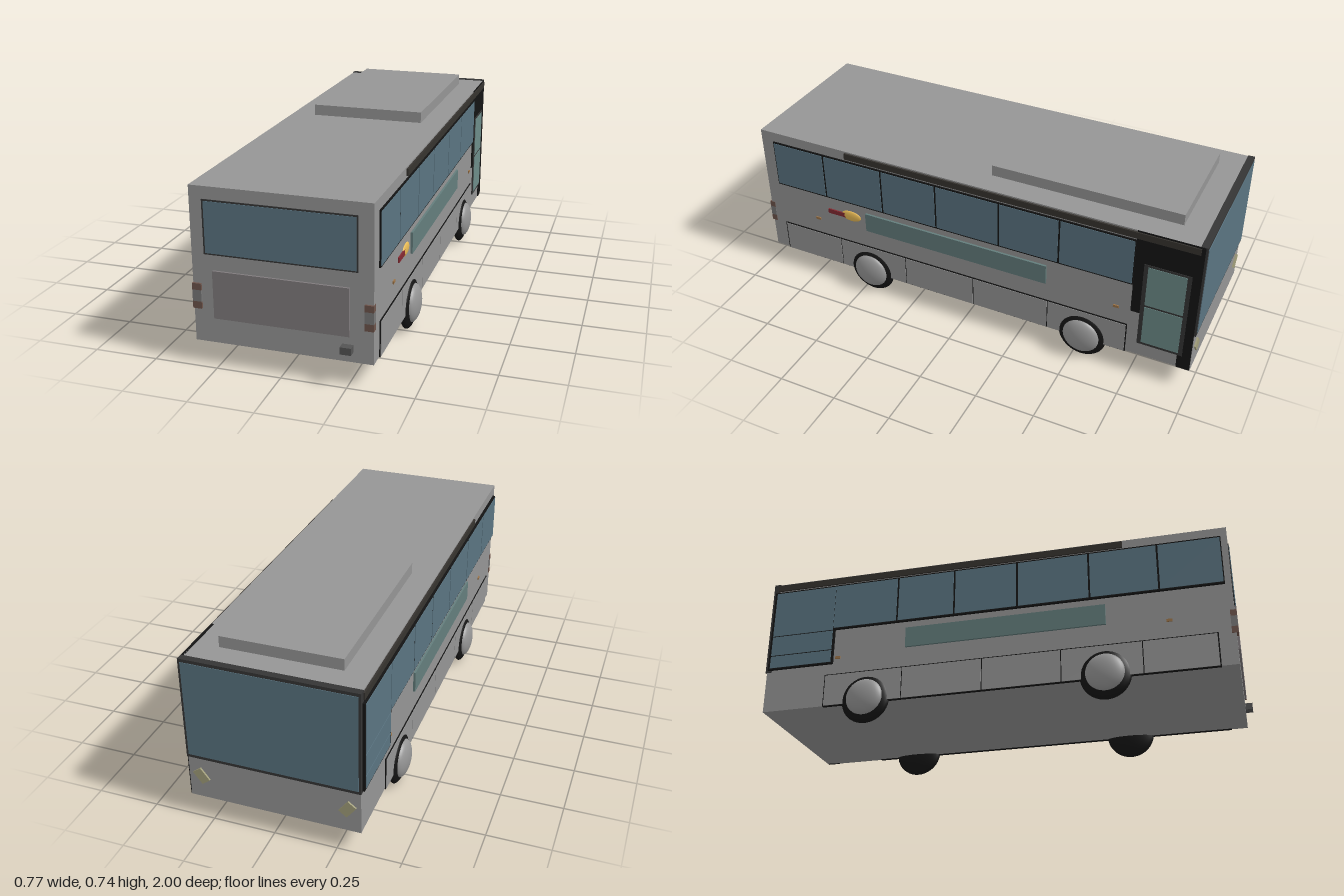
import * as THREE from 'three';

const mat = (color) => new THREE.MeshStandardMaterial({ color });
const M = {
  paint: mat(0x959595), black: mat(0x141414), frame: mat(0x353535), gutter: mat(0x36332f),
  glass: mat(0x5a7481), teal: mat(0x637d7c), doorGlass: mat(0x6d8c89), hatch: mat(0x807b7d),
  red: mat(0x6d544b), yellow: mat(0xe8ba55), crimson: mat(0x842a32), orange: mat(0x9d7549),
  lamp: mat(0xa29f7b), exhaust: mat(0x545454), lens: mat(0x787878),
};

export function createModel() {
  const bus = new THREE.Group();
  bus.name = 'bus';

  const add = (name, geometry, material) => {
    const mesh = new THREE.Mesh(geometry, material);
    mesh.name = name;
    bus.add(mesh);
    return mesh;
  };
  // Box given by its bounds on each axis
  const box = (name, material, [x0, x1], [y0, y1], [z0, z1]) => {
    const m = add(name, new THREE.BoxGeometry(Math.abs(x1 - x0), y1 - y0, Math.abs(z1 - z0)), material);
    m.position.set((x0 + x1) / 2, (y0 + y1) / 2, (z0 + z1) / 2);
  };
  const W = 0.342;
  // Thin panel on one side wall, standing out by the given depth
  const side = (name, s, material, depth, y, z) =>
    box(name, material, [s * (W - 0.01), s * (W + depth)], y, z);
  const ellipsoid = (name, material, p, r) => {
    const m = add(name, new THREE.SphereGeometry(1, 32, 20), material);
    m.position.set(...p);
    m.scale.set(...r);
  };

  // Body shell and roof unit
  box('body', M.paint, [-W, W], [0.09, 0.694], [-0.992, 0.97]);
  box('roofUnit', M.paint, [-0.24, 0.24], [0.69, 0.74], [-0.875, -0.08]);

  // Windscreen wrapped by a dark frame
  box('windscreenFrame', M.frame, [-0.344, 0.344], [0.27, 0.696], [-0.998, -0.97]);
  box('windscreen', M.glass, [-0.335, 0.335], [0.283, 0.683], [-1, -0.98]);

  // Slanted headlights
  for (const s of [-1, 1]) {
    const lamp = add('headlight', new THREE.BoxGeometry(0.04, 0.06, 0.012), M.lamp);
    lamp.position.set(s * 0.291, 0.19, -0.993);
    lamp.rotation.z = -s * 0.65;
  }

  // Rear window, engine hatch, exhaust and tail lights
  box('rearWindowFrame', M.frame, [-0.293, 0.285], [0.437, 0.646], [0.96, 0.973]);
  box('rearWindow', M.glass, [-0.286, 0.279], [0.443, 0.64], [0.96, 0.975]);
  box('engineHatch', M.hatch, [-0.262, 0.254], [0.19, 0.377], [0.96, 0.978]);
  box('exhaust', M.exhaust, [0.225, 0.267], [0.13, 0.158], [0.96, 1]);
  for (const s of [-1, 1]) {
    const stack = [[0.222, 0.25, M.red], [0.25, 0.295, M.lens], [0.295, 0.321, M.red]];
    for (const [y0, y1, m] of stack) {
      box('tailLight', m, [s * 0.309, s * 0.344], [y0, y1], [0.953, 0.978]);
    }
  }

  // Parts shared by both sides
  const windowCuts = {
    '1': [-0.73, -0.42, -0.16, 0.125, 0.38, 0.66, 0.91],
    '-1': [-0.7, -0.41, -0.16, 0.11, 0.41, 0.69, 0.945],
  };
  const panelCuts = [-0.72, -0.38, -0.04, 0.285, 0.61, 0.9];
  for (const s of [-1, 1]) {
    // Window strip
    const cuts = windowCuts[s];
    const d = s > 0 ? 0.006 : 0.012;
    side('windowBand', s, M.black, d, [0.437, 0.65], [cuts[0], cuts[cuts.length - 1]]);
    for (let i = 0; i < cuts.length - 1; i++) {
      side('sideWindow', s, M.glass, d + 0.002, [0.443, 0.644], [cuts[i] + 0.004, cuts[i + 1] - 0.004]);
    }
    // Gutter, coloured band and marker lights
    side('gutterStrip', s, M.gutter, 0.008, [0.66, 0.688], [-0.975, 0.55]);
    side('sideBand', s, M.teal, 0.009, [0.318, 0.406], [-0.37, 0.47]);
    for (const z of [-0.67, 0.72]) side('markerLight', s, M.orange, 0.005, [0.3, 0.311], [z - 0.012, z + 0.012]);
    // Lower panels over a dark backing
    side('skirtBacking', s, M.black, 0.004, [0.088, 0.23], [-0.722, 0.903]);
    for (let i = 0; i < panelCuts.length - 1; i++) {
      side('skirtPanel', s, M.paint, 0.006, [0.09, 0.226], [panelCuts[i] + 0.002, panelCuts[i + 1] - 0.002]);
    }
    // Wheels
    for (const z of [-0.535, 0.46]) {
      ellipsoid('tyre', M.black, [s * 0.338, 0.103, z], [0.03, 0.103, 0.103]);
      ellipsoid('hub', M.paint, [s * 0.353, 0.107, z], [0.033, 0.079, 0.079]);
    }
  }

  // Entrance on the left side
  side('doorSurround', 1, M.black, 0.003, [0.305, 0.694], [-0.99, -0.73]);
  side('doorPillar', 1, M.black, 0.004, [0.09, 0.69], [-0.99, -0.955]);
  side('doorSill', 1, M.black, 0.004, [0.09, 0.16], [-0.99, -0.935]);
  side('doorFrame', 1, M.frame, 0.005, [0.153, 0.55], [-0.955, -0.768]);
  for (const y of [[0.165, 0.346], [0.356, 0.54]]) {
    side('doorGlass', 1, M.doorGlass, 0.007, y, [-0.938, -0.785]);
  }

  // Driver's window on the right side, split by two rails
  side('driverWindowFrame', -1, M.black, 0.011, [0.278, 0.65], [-0.985, -0.69]);
  for (const y of [[0.285, 0.339], [0.343, 0.431], [0.435, 0.644]]) {
    side('driverWindow', -1, M.glass, 0.013, y, [-0.975, -0.698]);
  }

  // Painted accent on the left side
  side('redAccent', 1, M.crimson, 0.006, [0.355, 0.376], [0.56, 0.66]);
  ellipsoid('yellowAccent', M.yellow, [W, 0.367, 0.547], [0.008, 0.025, 0.048]);

  return bus;
}
